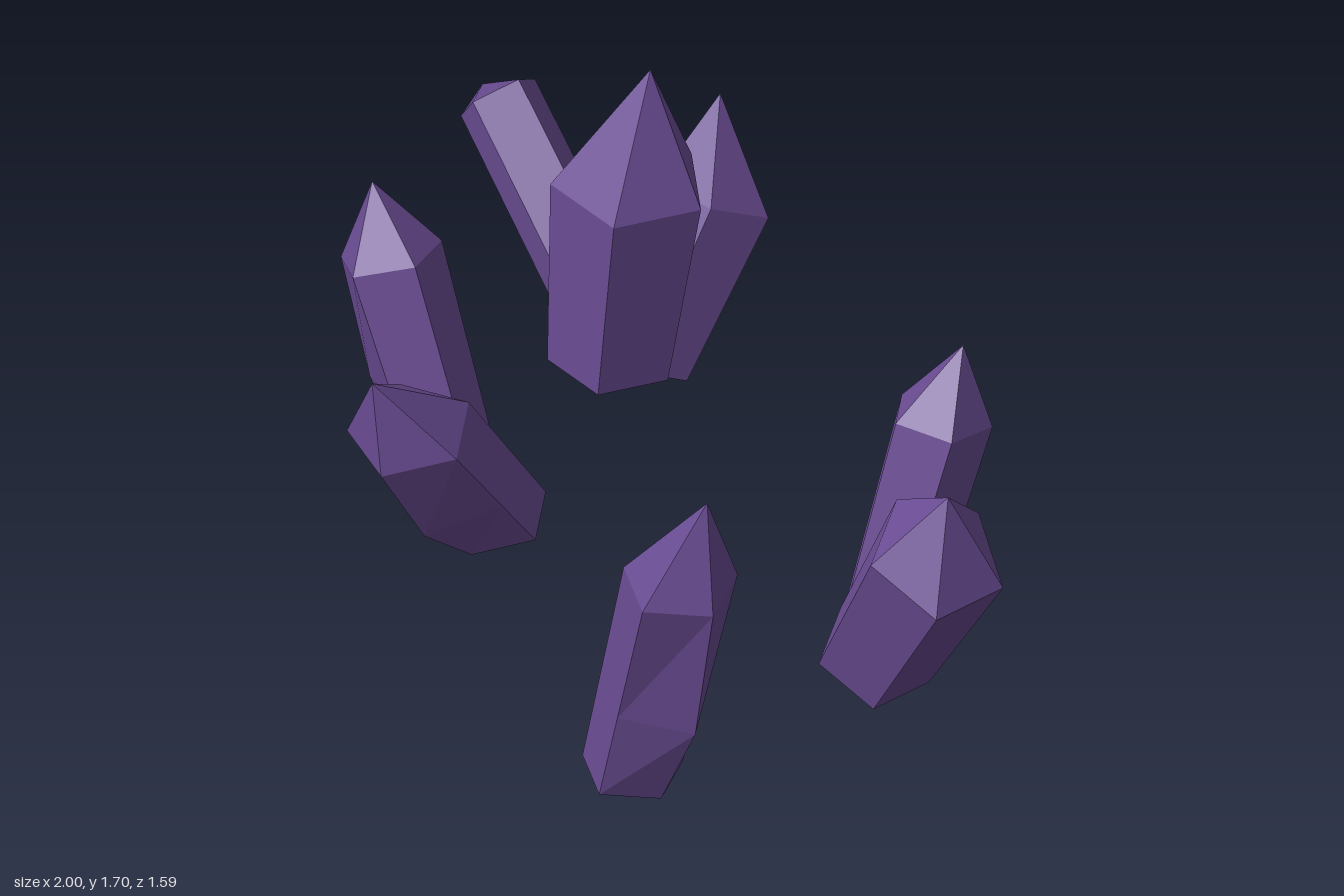
import * as THREE from 'three';

const SIDES = 5;
const UP = new THREE.Vector3(0, 1, 0);
const vec = (p) => new THREE.Vector3(...p);

// Pentagon around a centre, lying across the given normal
function ring(centre, normal, radius, phase) {
  const u = new THREE.Vector3(1, 0, 0);
  u.addScaledVector(normal, -normal.x).normalize();
  const v = new THREE.Vector3().crossVectors(u, normal);
  return Array.from({ length: SIDES }, (_, i) => {
    const a = THREE.MathUtils.degToRad(phase) + (i / SIDES) * Math.PI * 2;
    return centre.clone()
      .addScaledVector(u, Math.cos(a) * radius)
      .addScaledVector(v, Math.sin(a) * radius);
  });
}

// Shard: base ring, middle ring, shoulder ring and a pointed tip
function crystalGeometry({ base, shoulder, tip, rb, rs, phase, tilt = 1, heel = 0 }) {
  const b = vec(base), s = vec(shoulder), t = vec(tip);
  const axis = s.clone().sub(b).normalize();
  const normal = UP.clone().lerp(axis, tilt).normalize();
  const low = ring(b, normal, rb, phase);
  const high = ring(s, normal, rs, phase);
  const mid = low.map((p, i) => p.clone().lerp(high[i], 0.42));

  // Kink on the edge that leans outwards most
  if (heel) {
    const lean = new THREE.Vector3(axis.x, 0, axis.z);
    const score = (i) => high[i].clone().sub(s).dot(lean);
    let k = 0;
    for (let i = 1; i < SIDES; i++) if (score(i) > score(k)) k = i;
    mid[k].addScaledVector(high[k].clone().sub(s).normalize(), heel);
  }

  const points = [];
  const tri = (...p) => p.forEach((q) => points.push(q.x, q.y, q.z));
  for (let i = 0; i < SIDES; i++) {
    const j = (i + 1) % SIDES;
    for (const [lo, hi] of [[low, mid], [mid, high]]) {
      tri(lo[j], lo[i], hi[i]);
      tri(lo[j], hi[i], hi[j]);
    }
    tri(high[j], high[i], t);
    tri(b, low[i], low[j]);
  }
  const geo = new THREE.BufferGeometry();
  geo.setAttribute('position', new THREE.Float32BufferAttribute(points, 3));
  geo.computeVertexNormals();
  return geo;
}

const CRYSTALS = {
  centreCrystal: { base: [-0.055, 0.85, -0.005], shoulder: [-0.033, 1.38, -0.048], tip: [-0.02, 1.71, -0.1],
    rb: 0.16, rs: 0.2, phase: 53, tilt: 0.6 },
  outerRightCrystal: { base: [-0.665, 0.195, -0.005], shoulder: [-0.89, 0.7, 0], tip: [-0.955, 0.89, 0],
    rb: 0.115, rs: 0.135, phase: 10, tilt: 0.8, heel: 0.03 },
  leaningCrystal: { base: [-0.26, 0.885, -0.125], shoulder: [-0.68, 1.225, -0.17], tip: [-0.73, 1.235, -0.165],
    rb: 0.11, rs: 0.107, phase: 0 },
  backRightCrystal: { base: [-0.29, 0.57, -0.3], shoulder: [-0.315, 0.94, -0.56], tip: [-0.355, 1.2, -0.615],
    rb: 0.13, rs: 0.152, phase: 48, tilt: 0.8 },
  backLeftCrystal: { base: [0.385, 0.03, -0.49], shoulder: [0.39, 0.59, -0.69], tip: [0.4, 0.785, -0.755],
    rb: 0.115, rs: 0.13, phase: 29, tilt: 0.6, heel: 0.02 },
  outerLeftCrystal: { base: [0.615, 0.18, -0.28], shoulder: [0.865, 0.63, -0.27], tip: [0.895, 0.825, -0.28],
    rb: 0.15, rs: 0.18, phase: 38 },
  frontLeftCrystal: { base: [0.445, 0.05, 0.36], shoulder: [0.655, 0.75, 0.385], tip: [0.735, 1.03, 0.365],
    rb: 0.13, rs: 0.148, phase: 7, tilt: 0.3, heel: 0.055 },
  frontCrystal: { base: [-0.1, 0.505, 0.33], shoulder: [-0.07, 0.93, 0.635], tip: [-0.06, 1.145, 0.77],
    rb: 0.137, rs: 0.162, phase: 69, tilt: 0.4, heel: 0.05 },
};

export function createModel() {
  const group = new THREE.Group();
  group.name = 'crystalCluster';
  const purple = new THREE.MeshStandardMaterial({ color: 0x6a4c93 });
  purple.name = 'purple crystal';
  for (const [name, spec] of Object.entries(CRYSTALS)) {
    const mesh = new THREE.Mesh(crystalGeometry(spec), purple);
    mesh.name = name;
    group.add(mesh);
  }
  return group;
}
